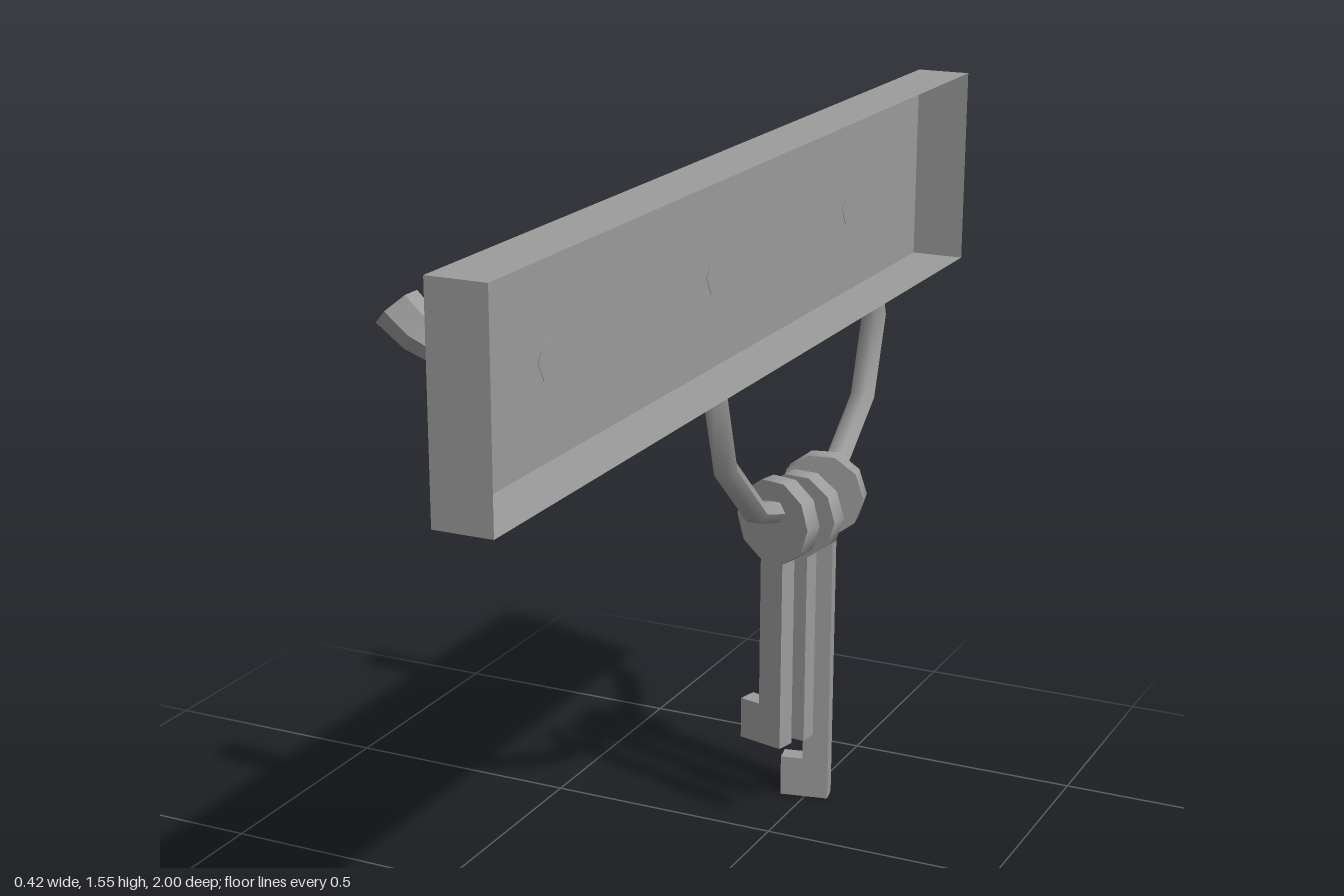
import * as THREE from 'three';
import { toCreasedNormals } from 'three/addons/utils/BufferGeometryUtils.js';

const color = 0x9c9c9c;
const material = new THREE.MeshStandardMaterial({ color });
const openMaterial = new THREE.MeshStandardMaterial({ color, side: THREE.DoubleSide });

function addMesh(parent, name, geometry, mat = material) {
  const mesh = new THREE.Mesh(geometry, mat);
  mesh.name = name;
  parent.add(mesh);
  return mesh;
}

// Hollow board, open on its wall side (+x)
function boardGeometry() {
  const g = new THREE.BoxGeometry(0.107, 0.387, 2);
  g.setIndex(Array.from(g.index.array).slice(6));
  g.clearGroups();
  return g;
}

// Six-sided peg swept through sections: centre (x, y) and half-height vector (ux, uy)
function pegGeometry(sections, creaseAngle) {
  const sides = 6, halfWidth = 0.038;
  const rings = sections.map(([x, y, ux, uy]) => Array.from({ length: sides }, (_, i) => {
    const a = (i / sides) * Math.PI * 2;
    const s = Math.sin(a) / Math.sin(Math.PI / 3);
    return [x + ux * s, y + uy * s, halfWidth * Math.cos(a)];
  }));
  const pos = [];
  for (let k = 0; k < rings.length - 1; k++) {
    for (let i = 0; i < sides; i++) {
      const j = (i + 1) % sides;
      const a = rings[k][i], b = rings[k][j], c = rings[k + 1][j], d = rings[k + 1][i];
      pos.push(...a, ...b, ...d, ...b, ...c, ...d);
    }
  }
  // end cap
  const tip = rings[rings.length - 1];
  for (let i = 1; i < sides - 1; i++) pos.push(...tip[0], ...tip[i], ...tip[i + 1]);
  const g = new THREE.BufferGeometry();
  g.setAttribute('position', new THREE.Float32BufferAttribute(pos, 3));
  return toCreasedNormals(g, creaseAngle);
}

// Twelve-segment ring with a flattened six-sided section, lying in the yz plane
function ringGeometry() {
  const profile = [];
  for (let i = 0; i <= 6; i++) {
    const a = (i / 6) * Math.PI * 2;
    profile.push(new THREE.Vector2(
      0.346 + 0.022 * Math.sin(a) / Math.sin(Math.PI / 3), -0.028 * Math.cos(a)));
  }
  const g = new THREE.LatheGeometry(profile, 12);
  g.rotateZ(Math.PI / 2);
  return toCreasedNormals(g, 1.1);
}

// Flat key: ten-sided bow, straight shaft and one square bit on the -x side
function keyGeometry(length) {
  const r = 0.091, thickness = 0.041;
  const shape = new THREE.Shape();
  for (let i = 0; i < 10; i++) {
    const a = -Math.PI / 2 + (18 + 36 * i) * Math.PI / 180;
    const x = r * Math.cos(a), y = r * Math.sin(a);
    if (i === 0) shape.moveTo(x, y); else shape.lineTo(x, y);
  }
  const half = r * Math.sin(Math.PI / 10);
  const bitTop = -length + 0.089;
  shape.lineTo(-half, bitTop);
  shape.lineTo(-half - 0.048, bitTop);
  shape.lineTo(-half - 0.048, -length);
  shape.lineTo(half, -length);
  const g = new THREE.ExtrudeGeometry(shape, { depth: thickness, bevelEnabled: false });
  g.translate(0, 0, -thickness / 2);
  return toCreasedNormals(g, 0.7);
}

export function createModel() {
  const model = new THREE.Group();
  model.name = 'keyRack';

  addMesh(model, 'board', boardGeometry(), openMaterial).position.set(0.1525, 1.3535, 0);

  // Hooks: a round-shaded shaft and a faceted, upturned tip
  const shaft = pegGeometry([[0.1, 0, 0, 0.033], [-0.096, 0, 0, 0.033]], 1.1);
  const tip = pegGeometry([
    [-0.096, 0, 0, 0.033],
    [-0.138, 0.018, 0.0195, 0.029],
    [-0.181, 0.053, 0.0285, 0.026],
  ], 0.1);
  for (const z of [-0.63, 0, 0.625]) {
    const hook = new THREE.Group();
    hook.name = 'hook';
    hook.position.set(0, 1.331, z);
    addMesh(hook, 'hookShaft', shaft);
    addMesh(hook, 'hookTip', tip);
    model.add(hook);
  }

  // Key ring hanging from the rear hook
  const ring = addMesh(model, 'keyRing', ringGeometry());
  ring.position.set(-0.003, 1.027, -0.624);
  ring.rotation.y = -0.082;

  // Keys: x, y, z, turn, length below the bow centre
  const keys = [
    [-0.011, 0.682, -0.553, -0.245, 0.5],
    [0.003, 0.672, -0.638, -0.1, 0.503],
    [0.017, 0.693, -0.721, 0.2, 0.693],
  ];
  for (const [x, y, z, turn, length] of keys) {
    const key = addMesh(model, 'key', keyGeometry(length));
    key.position.set(x, y, z);
    key.rotation.y = turn;
  }
  return model;
}
